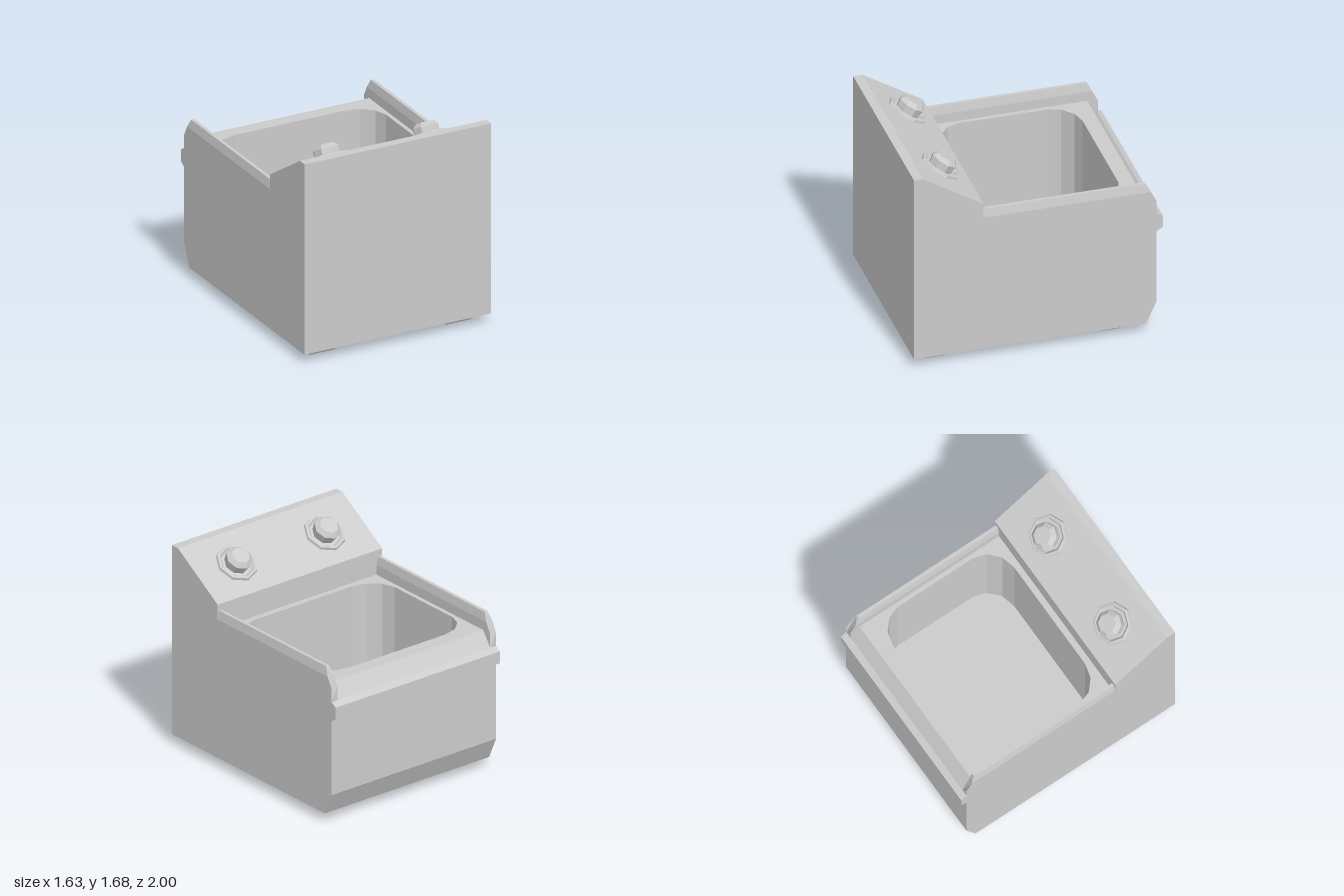
import * as THREE from 'three';

const material = new THREE.MeshStandardMaterial({ color: 0xcccccc, flatShading: true });
const W = 0.816;          // half width of the casing
const BACK = -0.865;      // where the back chamfers begin
const DECK = 1.17;        // height of the deck around the basin
const FLOOR = 0.3;        // height of the basin floor

function add(parent, name, geometry) {
  const mesh = new THREE.Mesh(geometry, material);
  mesh.name = name;
  parent.add(mesh);
  return mesh;
}

const toShape = (points) => new THREE.Shape(points.map(([a, b]) => new THREE.Vector2(a, b)));

// Side profile given as [z, y], extruded across the full width
function sideProfile(points) {
  const g = new THREE.ExtrudeGeometry(toShape(points), { depth: 2 * W, bevelEnabled: false });
  return g.translate(0, 0, -W).rotateY(-Math.PI / 2);
}

// Basin outline with chamfered round corners, as [x, -z]
function basinOutline() {
  const w = 0.723, d = 0.567, cz = -0.177;
  const corner = [[w, d - 0.215], [w - 0.035, d - 0.11], [w - 0.125, d - 0.03], [w - 0.245, d]];
  const mirrored = [...corner].reverse();
  return [
    ...corner,
    ...mirrored.map(([x, y]) => [-x, y]),
    ...corner.map(([x, y]) => [-x, -y]),
    ...mirrored.map(([x, y]) => [x, -y]),
  ].map(([x, y]) => [x, y - cz]);
}

// Block whose top is the deck, pierced by the basin
function tankGeometry() {
  const shape = toShape([[-W, -0.44], [W, -0.44], [W, -BACK], [-W, -BACK]]);
  shape.holes.push(new THREE.Path(basinOutline().map(([x, y]) => new THREE.Vector2(x, y))));
  const g = new THREE.ExtrudeGeometry(shape, { depth: DECK - FLOOR, bevelEnabled: false });
  return g.rotateX(-Math.PI / 2).translate(0, FLOOR, 0);
}

// Side rail with narrowed top and a raked back end
function railGeometry(side) {
  const section = [[W, 1.05], [W, 1.16], [W, 1.25], [0.8, 1.32], [0.772, 1.32], [0.758, 1.25], [0.758, 1.16], [0.758, 1.05]];
  const g = new THREE.ExtrudeGeometry(toShape(section.map(([x, y]) => [x * side, y])), { depth: 1, bevelEnabled: false });
  const p = g.attributes.position;
  for (let i = 0; i < p.count; i++) {
    const rake = Math.min(1, (1.32 - p.getY(i)) / 0.16);
    p.setZ(i, p.getZ(i) > 0.5 ? 0.44 : BACK - 0.085 * rake);
  }
  g.computeVertexNormals();
  return g;
}

// Foot: a box narrowed towards the ground
function footGeometry() {
  const g = new THREE.BoxGeometry(0.32, 0.075, 0.25);
  const p = g.attributes.position;
  for (let i = 0; i < p.count; i++) {
    if (p.getY(i) < 0) p.setXYZ(i, p.getX(i) * 0.66, p.getY(i), p.getZ(i) * 0.6);
  }
  g.computeVertexNormals();
  return g.translate(0, 0.0375, 0);
}

const lathe = (points) => new THREE.LatheGeometry(points.map(([r, y]) => new THREE.Vector2(r, y)), 8);

export function createModel() {
  const model = new THREE.Group();
  model.name = 'countertopFryer';

  // Front housing with the sloped control panel
  add(model, 'controlHousing', sideProfile([[0.44, 0.075], [1, 0.075], [1, 1.68], [0.925, 1.68], [0.44, 1.375]]));

  // Tank, its floor slab and the chamfered back with the edge bar
  add(model, 'tank', tankGeometry());
  const slab = add(model, 'tankFloor', new THREE.BoxGeometry(2 * W, FLOOR - 0.075, 0.44 - BACK));
  slab.position.set(0, (FLOOR + 0.075) / 2, (0.44 + BACK) / 2);
  add(model, 'backPanel', sideProfile([
    [BACK, 0.075], [BACK, DECK], [-0.95, 1.05], [-1, 1.02], [-1, 0.92], [-0.95, 0.89], [-0.95, 0.26],
  ]));

  for (const side of [-1, 1]) {
    add(model, side > 0 ? 'leftRail' : 'rightRail', railGeometry(side));

    // Octagonal knob standing in a raised collar
    const control = new THREE.Group();
    control.name = side > 0 ? 'leftControl' : 'rightControl';
    add(control, 'collar', lathe([[0.172, -0.005], [0.165, 0.02], [0.145, 0.025], [0.125, 0.003]]));
    add(control, 'knob', lathe([[0.098, -0.005], [0.11, 0.075], [0.075, 0.108], [0, 0.108]]));
    control.position.set(side * 0.437, 1.527, 0.68);
    control.rotation.x = -Math.atan2(0.305, 0.485);
    model.add(control);

    // Feet
    for (const z of [0.8, -0.61]) {
      add(model, 'foot', footGeometry()).position.set(side * 0.597, 0, z);
    }
  }
  return model;
}
